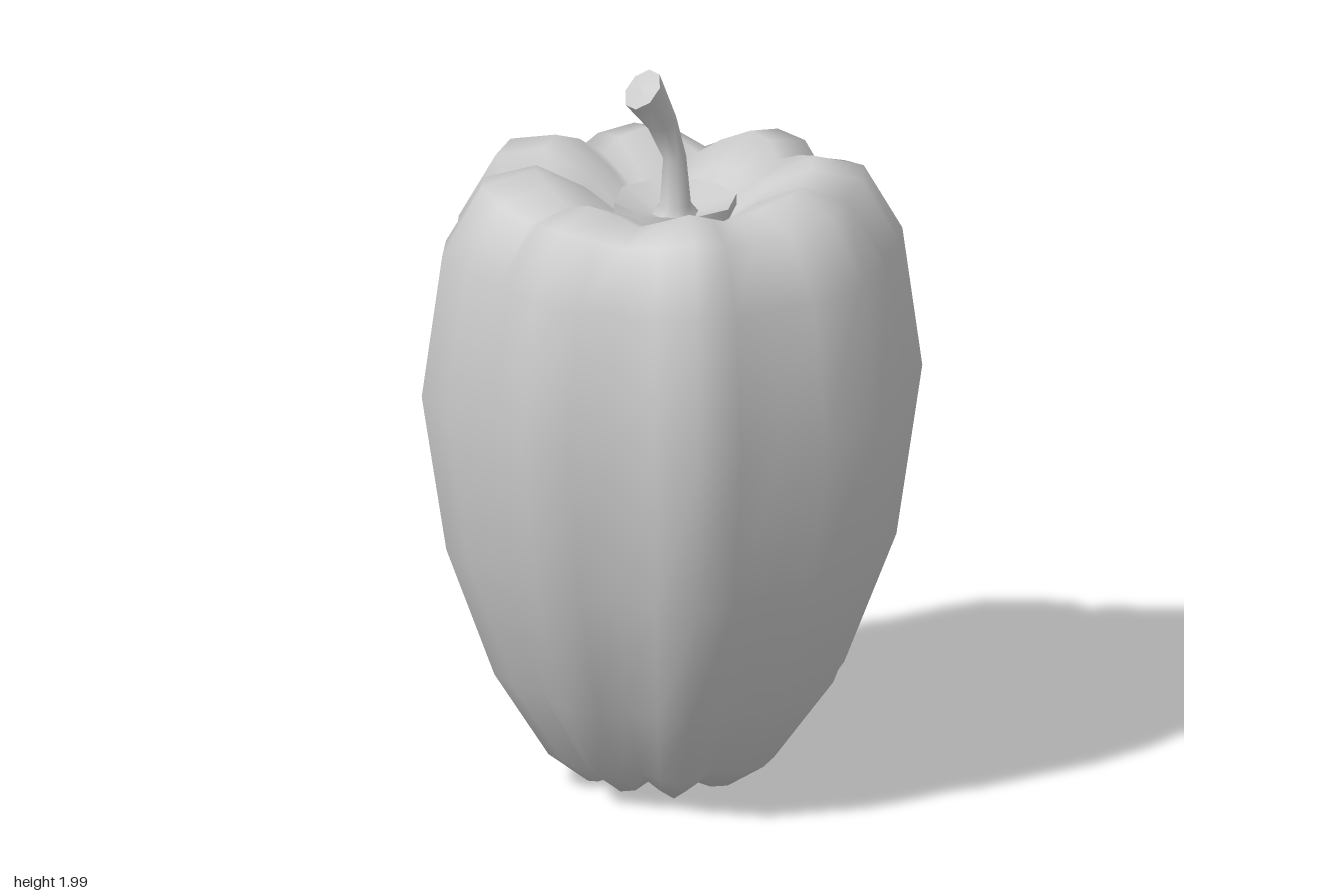
import * as THREE from 'three';

const grey = () => new THREE.MeshStandardMaterial({ color: 0xcccccc });

// Skins a stack of closed rings (listed from start to end) with smooth normals
function loft(name, rings) {
  const n = rings[0].length, index = [];
  for (let j = 0; j < rings.length - 1; j++) {
    for (let i = 0; i < n; i++) {
      const k = (i + 1) % n;
      const a = j * n + i, b = j * n + k, c = a + n, d = b + n;
      index.push(a, c, b, b, c, d);
    }
  }
  const geometry = new THREE.BufferGeometry().setFromPoints(rings.flat());
  geometry.setIndex(index);
  geometry.computeVertexNormals();
  const mesh = new THREE.Mesh(geometry, grey());
  mesh.name = name;
  return mesh;
}

// Round ring, leaning toward -x by the tilt angle
function ring(x, y, radius, tilt = 0, sides = 8) {
  return Array.from({ length: sides }, (_, i) => {
    const t = ((i + 0.5) / sides) * Math.PI * 2;
    const u = radius * Math.cos(t);
    return new THREE.Vector3(x + u * Math.cos(tilt), y + u * Math.sin(tilt), radius * Math.sin(t));
  });
}

// Widest cross-section as x, z pairs: eight uneven lobes, four points each
const outline = [
  -0.25, -0.63, -0.11, -0.63, -0.01, -0.58, 0.10, -0.61,
  0.24, -0.59, 0.35, -0.50, 0.40, -0.39, 0.50, -0.34,
  0.60, -0.24, 0.625, -0.11, 0.59, 0, 0.62, 0.13,
  0.61, 0.26, 0.54, 0.35, 0.44, 0.41, 0.38, 0.51,
  0.235, 0.60, 0.05, 0.62, -0.07, 0.58, -0.20, 0.59,
  -0.32, 0.57, -0.40, 0.47, -0.46, 0.35, -0.55, 0.30,
  -0.62, 0.18, -0.615, 0.04, -0.58, -0.05, -0.63, -0.15,
  -0.61, -0.29, -0.52, -0.40, -0.42, -0.44, -0.37, -0.55,
];

// Body rings: radius, height, lobe strength, vertical lobe swell, z shift
const profile = [
  [0, 0.07, 0, 0, -0.03],
  [0.07, 0.04, 1.5, -0.2, -0.03],
  [0.18, 0.02, 1.8, -0.25, -0.04],
  [0.28, 0.09, 1.6, -0.1, -0.03],
  [0.43, 0.32, 1.2, 0, -0.01],
  [0.56, 0.68, 1, 0, 0],
  [0.62, 1.11, 1, 0, 0],
  [0.57, 1.49, 1, 0.1, 0],
  [0.47, 1.655, 1.1, 0.35, 0],
  [0.345, 1.685, 1, 0.45, 0],
  [0.23, 1.635, 0.6, 0.3, 0],
  [0.12, 1.56, 0.2, 0, 0],
  [0, 1.54, 0, 0, 0],
];

function createBody() {
  const mean = 0.62;
  const rings = profile.map(([radius, height, strength, swell, shift]) => {
    const points = [];
    for (let i = 0; i < outline.length; i += 2) {
      const x = outline[i], z = outline[i + 1];
      const r = Math.hypot(x, z), lobe = r / mean - 1;
      const s = (radius * (1 + strength * lobe)) / r;
      points.push(new THREE.Vector3(x * s, height + swell * lobe, z * s + shift));
    }
    return points;
  });
  return loft('pepperBody', rings);
}

export function createModel() {
  const group = new THREE.Group();
  group.name = 'bellPepper';
  group.add(createBody());

  // Shallow eight-sided saucer under the stem; repeated rings keep the rim sharp
  const saucer = [[0, 1.53], [0.1, 1.545], [0.165, 1.595], [0.165, 1.595],
    [0.165, 1.625], [0.165, 1.625], [0.06, 1.585], [0, 1.585]];
  group.add(loft('calyx', saucer.map(([r, y]) => ring(0, y, r))));

  // Curved stem flaring at both ends, closed by a cut face
  const stem = [
    [0, 1.575, 0.07, 0],
    [0, 1.61, 0.042, 0],
    [-0.002, 1.74, 0.031, 0.05],
    [-0.042, 1.845, 0.04, 0.4],
    [-0.105, 1.95, 0.061, 0.82],
    [-0.105, 1.95, 0.061, 0.82],
    [-0.11, 1.955, 0, 0.82],
  ];
  group.add(loft('stem', stem.map(([x, y, r, tilt]) => ring(x, y, r, tilt))));

  return group;
}
